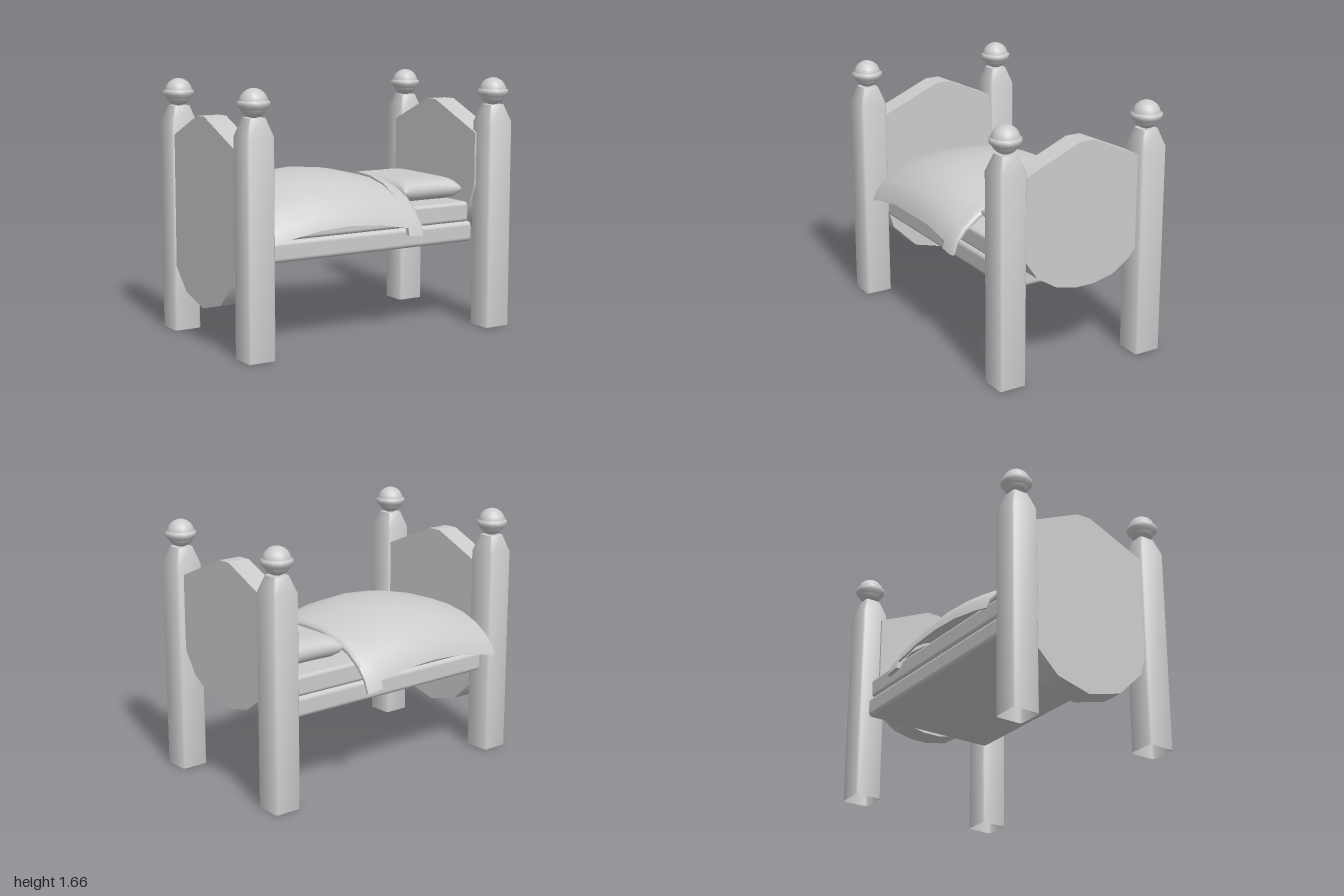
import * as THREE from 'three';
import { mergeVertices, toCreasedNormals } from 'three/addons/utils/BufferGeometryUtils.js';
import { RoundedBoxGeometry } from 'three/addons/geometries/RoundedBoxGeometry.js';

const solid = new THREE.MeshStandardMaterial({ color: 0xcccccc });
const thin = new THREE.MeshStandardMaterial({ color: 0xcccccc, side: THREE.DoubleSide });
const MID_Z = -0.02; // middle of the mattress and bedding

function add(parent, name, geometry, material = solid) {
  const mesh = new THREE.Mesh(geometry, material);
  mesh.name = name;
  parent.add(mesh);
  return mesh;
}

// Joins closed cross-sections of equal length into a skin
function loft(rings, crease = 0.6) {
  const n = rings[0].length;
  const index = [];
  for (let i = 0; i < rings.length - 1; i++) {
    for (let j = 0; j < n; j++) {
      const a = i * n + j, b = i * n + (j + 1) % n;
      index.push(a, a + n, b, b, a + n, b + n);
    }
  }
  const g = new THREE.BufferGeometry();
  g.setAttribute('position', new THREE.Float32BufferAttribute(rings.flat(2), 3));
  g.setIndex(index);
  return toCreasedNormals(g, crease);
}

// Square section with small chamfers on the corners
function squareRing(half, chamfer, y) {
  const k = half - chamfer;
  return [[half, -k], [half, k], [k, half], [-k, half], [-half, k], [-half, -k], [-k, -half], [k, -half]]
    .map(([x, z]) => [x, y, z]);
}

// Post open at the foot, with a tapered neck and a ringed ball
function createPost() {
  const post = new THREE.Group();
  post.name = 'bedPost';
  add(post, 'postShaft', loft([
    squareRing(0.0935, 0.012, 0), squareRing(0.0935, 0.012, 1.375),
    squareRing(0.055, 0.01, 1.487), squareRing(0, 0, 1.487),
  ], 0.9), thin);
  const ball = add(post, 'postBall', new THREE.SphereGeometry(0.09, 16, 12));
  ball.position.y = 1.575;
  const ringProfile = [[0.08, -0.035], [0.1, -0.012], [0.102, 0.012], [0.085, 0.022]]
    .map(([r, y]) => new THREE.Vector2(r, y));
  const ring = add(post, 'postBallRing', new THREE.LatheGeometry(ringProfile, 16), thin);
  ring.position.y = 1.57;
  return post;
}

// End board cut from a (z, y) outline
function createPanel(points, name, parent, outerX) {
  const shape = new THREE.Shape(points.map(([z, y]) => new THREE.Vector2(z, y)));
  const g = new THREE.ExtrudeGeometry(shape, { depth: 0.155, bevelEnabled: false });
  g.rotateY(-Math.PI / 2);
  add(parent, name, toCreasedNormals(g, 0.6)).position.x = outerX;
}

// Half section of the bedding: distance from the middle, share of the drop
const drape = [[0, 0], [0.15, 0.02], [0.3, 0.12], [0.42, 0.28], [0.52, 0.52], [0.58, 0.76], [0.607, 1]];
const topAt = (x) => 1.075 - 0.35 * (x + 0.25) ** 2;
const dropAt = (x) => 0.3 - 0.09 * (x + 0.25) ** 2;

function drapeRing(x, top, drop, widen, thickness) {
  const across = [
    ...[...drape].reverse().map(([u, f]) => [u, f]),
    ...drape.slice(1).map(([u, f]) => [-u, f]),
  ];
  const outer = across.map(([u, f]) => [x, top - drop * f, -0.027 + u * widen]);
  const inner = across.map(([u, f]) =>
    [x, top - drop * f - thickness * (1 - f), -0.027 + u * (widen - thickness)]).reverse();
  return [...outer, ...inner];
}

// Plump cushion, thinning to a seam all round and pinched along its ends
function pillowGeometry(w, h, d) {
  const g = new THREE.BoxGeometry(2, 2, 2, 20, 6, 20);
  const p = g.attributes.position;
  for (let i = 0; i < p.count; i++) {
    const a = Math.sin(p.getX(i) * Math.PI / 2);
    const b = Math.sin(p.getZ(i) * Math.PI / 2);
    const puff = Math.sqrt(Math.max(0, (1 - a ** 8) * (1 - b ** 8)));
    p.setXYZ(i, a * w / 2, p.getY(i) * puff * h / 2, b * (1 - 0.06 * (1 - a * a)) * d / 2);
  }
  g.deleteAttribute('normal');
  g.deleteAttribute('uv');
  const merged = mergeVertices(g, 1e-4);
  merged.computeVertexNormals();
  return merged;
}

export function createModel() {
  const bed = new THREE.Group();
  bed.name = 'bed';

  // Four corner posts
  for (const x of [-0.906, 0.892]) {
    for (const z of [0.547, -0.475]) {
      const post = createPost();
      post.position.set(x, 0, z);
      bed.add(post);
    }
  }

  // Headboard and the deeper footboard
  createPanel([
    [0.05, 1.49], [-0.05, 1.49], [-0.43, 1.32], [-0.43, 0.8], [-0.34, 0.67], [-0.21, 0.582], [-0.06, 0.55],
    [0.06, 0.55], [0.21, 0.582], [0.35, 0.67], [0.44, 0.8], [0.5, 0.95], [0.5, 1.3],
  ], 'headboard', bed, 0.94);
  createPanel([
    [0.05, 1.455], [-0.05, 1.455], [-0.43, 1.285], [-0.43, 0.56], [-0.4, 0.45], [-0.235, 0.287], [0, 0.225],
    [0.24, 0.287], [0.415, 0.46], [0.45, 0.58], [0.5, 0.7], [0.5, 1.265],
  ], 'footboard', bed, -0.83);

  // Base and mattress
  add(bed, 'bedBase', new RoundedBoxGeometry(1.61, 0.137, 0.98, 3, 0.03)).position.set(-0.005, 0.632, MID_Z);
  add(bed, 'mattress', new RoundedBoxGeometry(1.58, 0.135, 0.97, 3, 0.025)).position.set(-0.02, 0.767, MID_Z);

  // Pillow
  add(bed, 'pillow', pillowGeometry(0.465, 0.15, 0.775)).position.set(0.545, 0.91, -0.012);

  // Arched blanket, closed to an edge at both ends
  const stations = [-0.81, -0.8, -0.7, -0.47, -0.25, -0.02, 0.2, 0.22];
  add(bed, 'blanket', loft(stations.map((x, i) =>
    drapeRing(x, topAt(x), dropAt(x), 1, i % (stations.length - 1) ? 0.025 : 0)), 0.8), thin);

  // Turned-down band at the head end of the blanket
  add(bed, 'blanketFold', loft([
    drapeRing(0.2, 1.02, 0.345, 1.025, 0),
    drapeRing(0.2, 1.02, 0.345, 1.025, 0.05),
    drapeRing(0.29, 0.998, 0.335, 1.025, 0.05),
    drapeRing(0.315, 0.982, 0.322, 1.015, 0.03),
    drapeRing(0.318, 0.97, 0.31, 1.0, 0),
  ], 0.9), thin);

  return bed;
}
